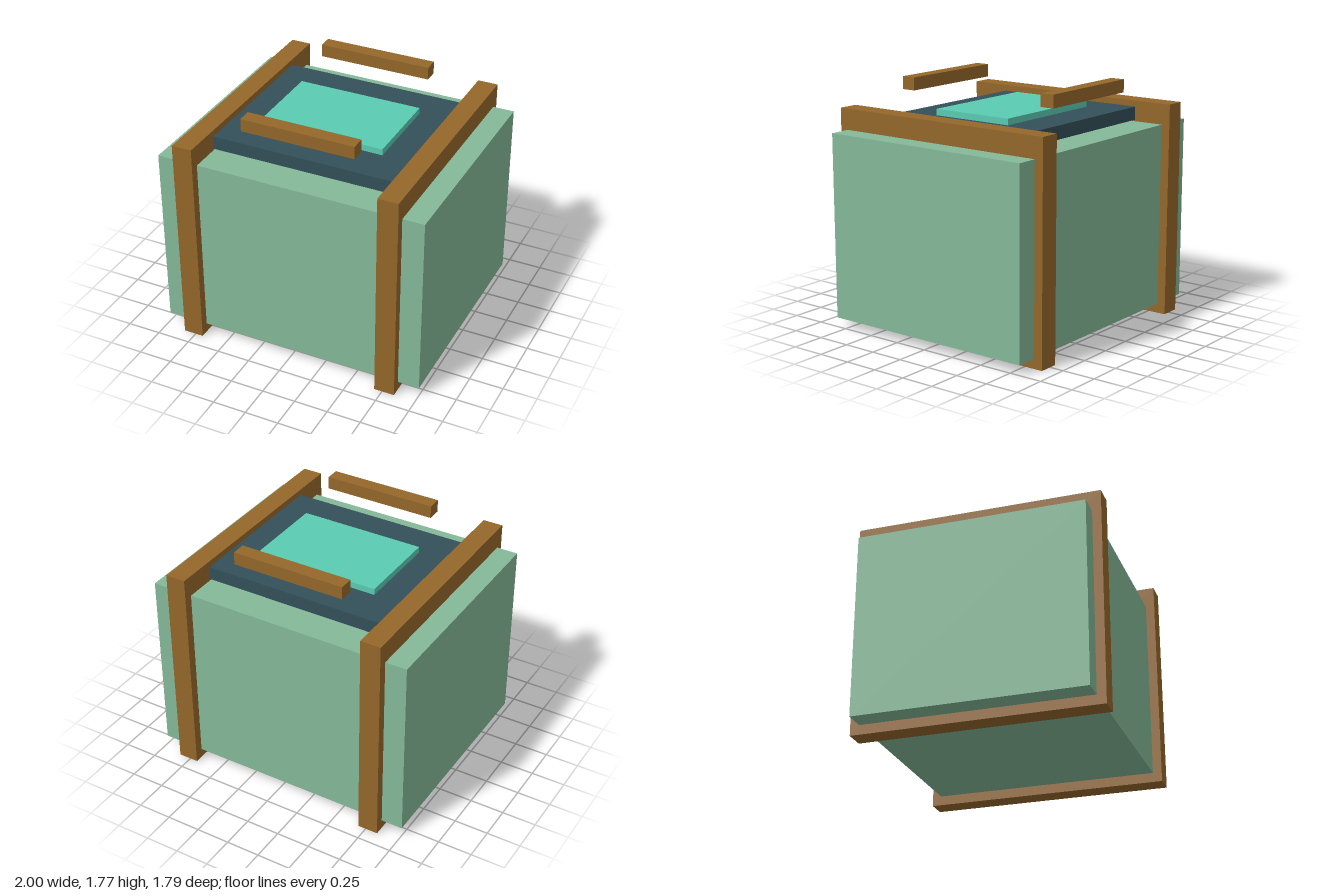
import * as THREE from 'three';

const material = (name, color) => {
  const m = new THREE.MeshStandardMaterial({ color });
  m.name = name;
  return m;
};

export function createModel() {
  const green = material('sage green', 0x84b998);
  const brown = material('wood brown', 0x94672a);
  const slate = material('dark slate', 0x335059);
  const teal = material('teal', 0x5acbb2);

  const crate = new THREE.Group();
  crate.name = 'strappedCrate';

  // Box given by its size, the height of its underside and its x, z centre
  const addBox = (name, mat, [w, h, d], bottom, x = 0, z = 0) => {
    const mesh = new THREE.Mesh(new THREE.BoxGeometry(w, h, d), mat);
    mesh.name = name;
    mesh.position.set(x, bottom + h / 2, z);
    crate.add(mesh);
  };

  // Main block, lid plate and raised panel
  addBox('body', green, [2, 1.355, 1.656], 0.07);
  addBox('lid', slate, [1.39, 0.098, 1.194], 1.435);
  addBox('lidPanel', teal, [0.936, 0.046, 0.638], 1.533);

  // Straps around the body and floating handle bars, in mirrored pairs
  for (const [side, s] of [['left', 1], ['right', -1]]) {
    addBox(side + 'Strap', brown, [0.15, 1.578, 1.786], 0, s * 0.766);
  }
  for (const [side, s] of [['front', 1], ['back', -1]]) {
    addBox(side + 'Handle', brown, [0.85, 0.094, 0.106], 1.68, 0, s * 0.617);
  }
  return crate;
}
